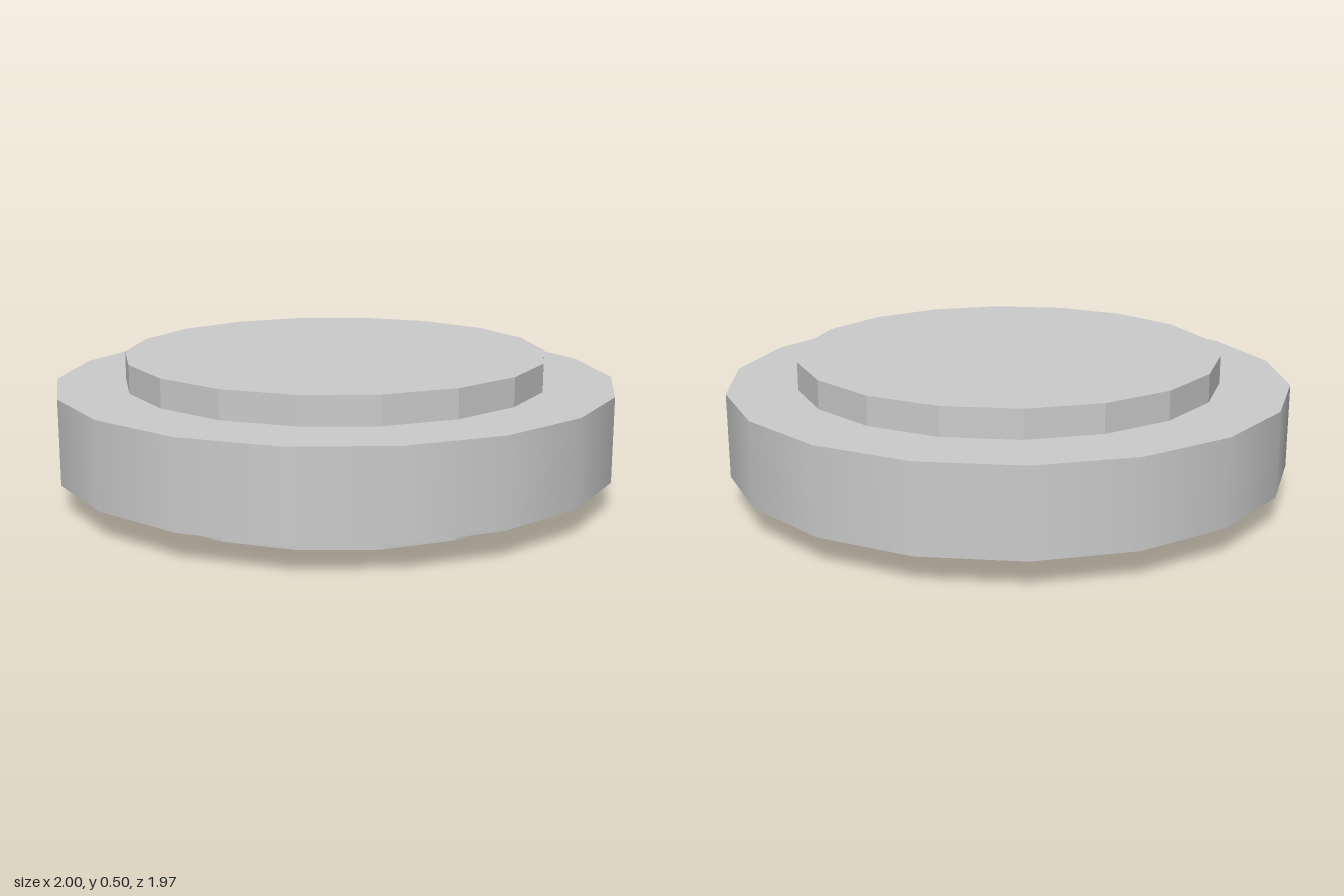
import * as THREE from 'three';

const SIDES = 18;

// Upright 18-sided disc with a corner on the x axis
function disc(name, radius, bottom, top, flatShading) {
  const geometry = new THREE.CylinderGeometry(radius, radius, top - bottom, SIDES, 1, false, Math.PI / 2);
  const material = new THREE.MeshStandardMaterial({ color: 0xcccccc, flatShading });
  const mesh = new THREE.Mesh(geometry, material);
  mesh.name = name;
  mesh.position.y = (bottom + top) / 2;
  return mesh;
}

export function createModel() {
  const model = new THREE.Group();
  model.name = 'wheel';
  // Wide, smooth-sided tyre
  model.add(disc('tyre', 1, 0.1, 0.4, false));
  // Faceted hub standing out above and below the tyre
  model.add(disc('hub', 0.753, 0, 0.5, true));
  return model;
}
